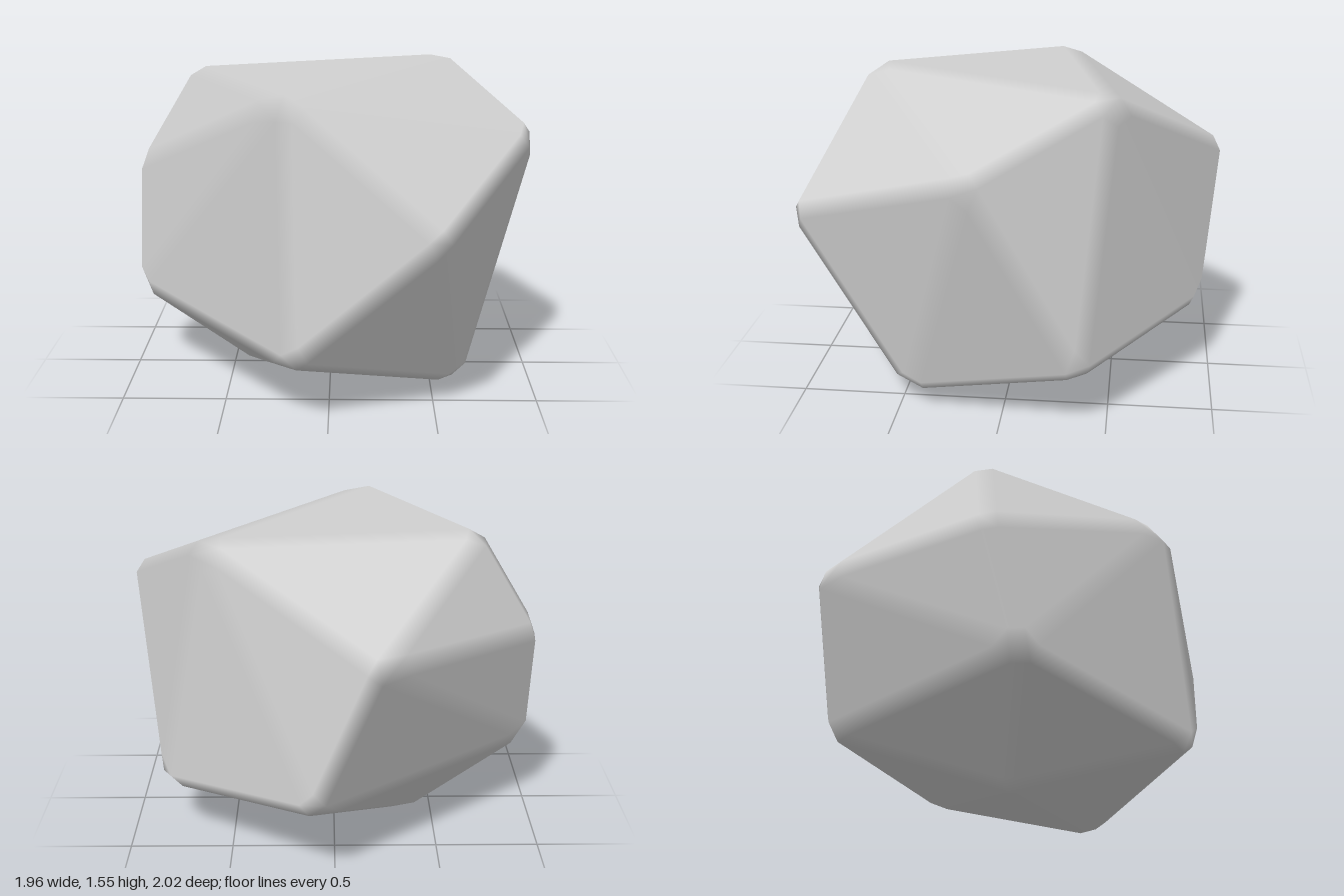
import * as THREE from 'three';
import { ConvexGeometry } from 'three/addons/geometries/ConvexGeometry.js';

// Corners of the faceted boulder before its edges are softened
const CORNERS = [
  [-0.20, 1.515, 0.77], [0.51, 0.94, 1.035], [-0.18, 0.30, 0.87],
  [0.63, 0.08, 0.46], [1.01, 1.26, 0.12], [0.85, 0.29, -0.385],
  [0.62, 1.555, -0.50], [-0.71, 1.52, -0.22], [-1.01, 1.02, -0.21],
  [-1.01, 0.40, -0.06], [-0.40, -0.025, -0.07], [-0.19, 1.14, -1.04],
  [0.10, 0.405, -0.955],
].map((p) => new THREE.Vector3(...p));

const BEVEL = 0.05;

const keyOf = (p) => [p.x, p.y, p.z].map((n) => n.toFixed(4)).join();

// Chamfers a convex solid; every bevel corner keeps its facet's normal,
// so facets stay flat while the edges between them shade smoothly.
function softenedHull(corners, width) {
  const pos = new ConvexGeometry(corners).attributes.position;
  const points = [];
  const normals = new Map();
  for (let i = 0; i < pos.count; i += 3) {
    const tri = [0, 1, 2].map((k) => new THREE.Vector3().fromBufferAttribute(pos, i + k));
    const normal = new THREE.Triangle(...tri).getNormal(new THREE.Vector3());
    tri.forEach((v, k) => {
      const a = tri[(k + 1) % 3].clone().sub(v).normalize();
      const b = tri[(k + 2) % 3].clone().sub(v).normalize();
      const inset = v.clone().addScaledVector(a.clone().add(b), width / Math.sin(a.angleTo(b)));
      points.push(inset);
      normals.set(keyOf(inset), normal);
    });
  }
  const geometry = new ConvexGeometry(points);
  const p = geometry.attributes.position;
  const n = geometry.attributes.normal;
  const v = new THREE.Vector3();
  for (let i = 0; i < p.count; i++) {
    const normal = normals.get(keyOf(v.fromBufferAttribute(p, i)));
    if (normal) n.setXYZ(i, normal.x, normal.y, normal.z);
  }
  return geometry;
}

export function createModel() {
  const group = new THREE.Group();
  group.name = 'rock';
  const stone = new THREE.MeshStandardMaterial({ color: 0xd1d1d1 });
  stone.name = 'pale stone grey';

  const boulder = new THREE.Mesh(softenedHull(CORNERS, BEVEL), stone);
  boulder.name = 'boulder';
  group.add(boulder);
  return group;
}
